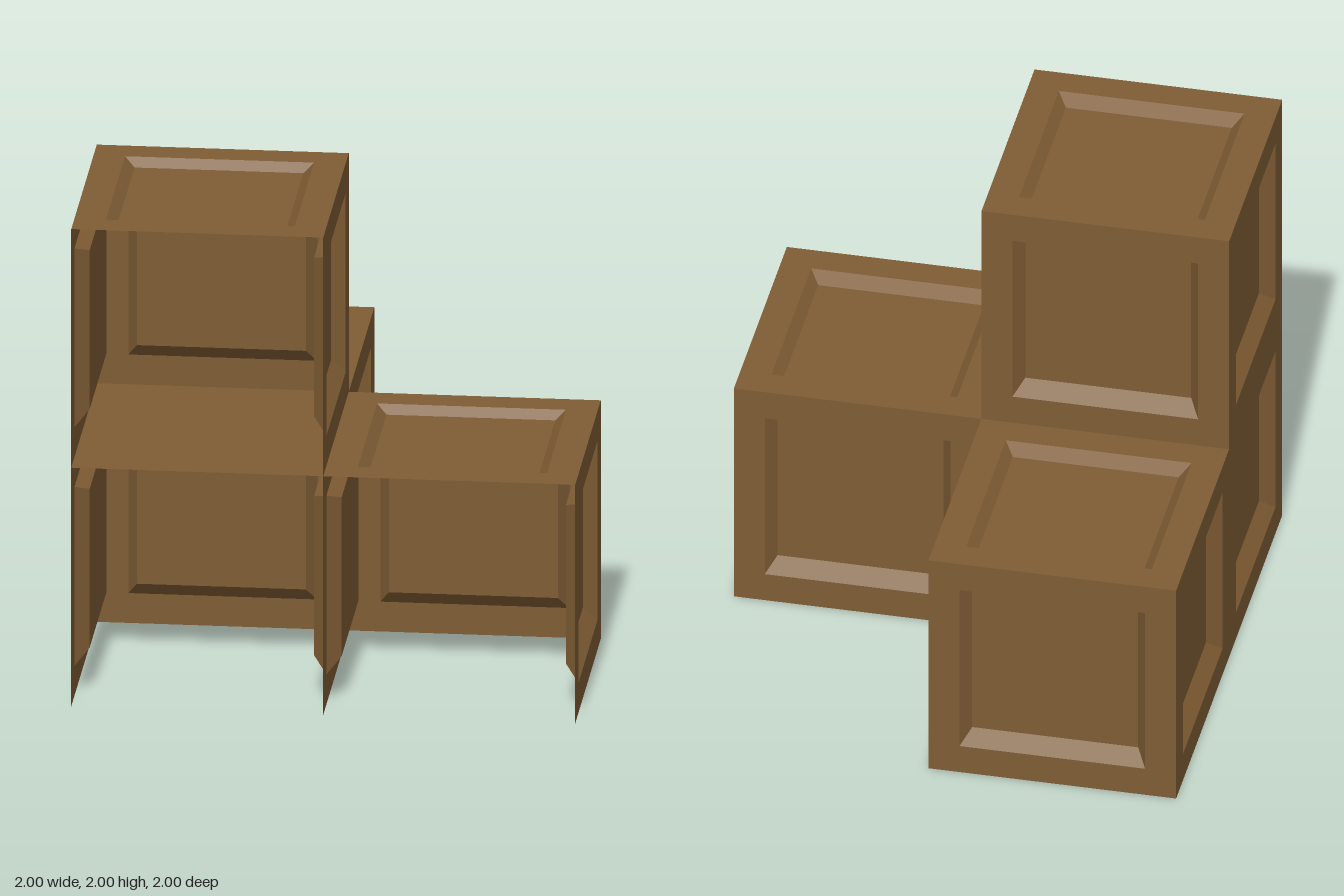
import * as THREE from 'three';

const wood = new THREE.MeshStandardMaterial({ color: 0x7f5d34, side: THREE.DoubleSide, flatShading: true });

// Unit wall in the xy plane facing +z, with a sunken panel joined by sloped rims
function panelGeometry({ left, right, bottom, top, depth }) {
  const ring = (l, r, b, t, z) => [[l, b, z], [r, b, z], [r, t, z], [l, t, z]];
  const rings = [
    ring(-0.5, 0.5, -0.5, 0.5, 0),
    ring(-0.375, 0.375, -0.375, 0.375, 0),
    ring(left, right, bottom, top, -depth),
  ];
  const pos = [];
  const quad = (a, b, c, d) => pos.push(...a, ...b, ...c, ...a, ...c, ...d);
  for (let i = 0; i < 2; i++) {
    for (let k = 0; k < 4; k++) {
      const n = (k + 1) % 4;
      quad(rings[i][k], rings[i][n], rings[i + 1][n], rings[i + 1][k]);
    }
  }
  quad(...rings[2]);
  const g = new THREE.BufferGeometry();
  g.setAttribute('position', new THREE.Float32BufferAttribute(pos, 3));
  g.computeVertexNormals();
  return g;
}

// Each wall is built facing +z, turned, then pushed out half a unit
const place = (g, rx, ry) => g.translate(0, 0, 0.5).rotateX(rx).rotateY(ry);
const Q = Math.PI / 2;
const walls = {
  leftWall: place(panelGeometry({ left: -0.32, right: 0.345, bottom: -0.315, top: 0.35, depth: 0.055 }), 0, Q),
  rightWall: place(panelGeometry({ left: -0.345, right: 0.32, bottom: -0.315, top: 0.35, depth: 0.055 }), 0, -Q),
  backWall: place(panelGeometry({ left: -0.335, right: 0.335, bottom: -0.315, top: 0.35, depth: 0.055 }), 0, 2 * Q),
  lid: place(panelGeometry({ left: -0.335, right: 0.335, bottom: -0.32, top: 0.35, depth: 0.037 }), -Q, 0),
};
const floor = place(new THREE.PlaneGeometry(1, 1), Q, 0);

// Open-fronted crate: three panelled walls, a panelled lid and an optional flat floor
function crate(name, x, y, z, hasFloor) {
  const group = new THREE.Group();
  group.name = name;
  const add = (part, geometry) => {
    const mesh = new THREE.Mesh(geometry, wood);
    mesh.name = part;
    group.add(mesh);
  };
  for (const [part, geometry] of Object.entries(walls)) add(part, geometry);
  if (hasFloor) add('floor', floor);
  group.position.set(x, y, z);
  return group;
}

export function createModel() {
  const model = new THREE.Group();
  model.name = 'crateStack';
  model.add(
    crate('cornerCrate', -0.5, 0.5, 0.5, false),
    crate('upperCrate', -0.5, 1.5, 0.5, true),
    crate('sideCrate', 0.5, 0.5, 0.5, false),
    crate('rearCrate', -0.5, 0.5, -0.5, true),
  );
  return model;
}
